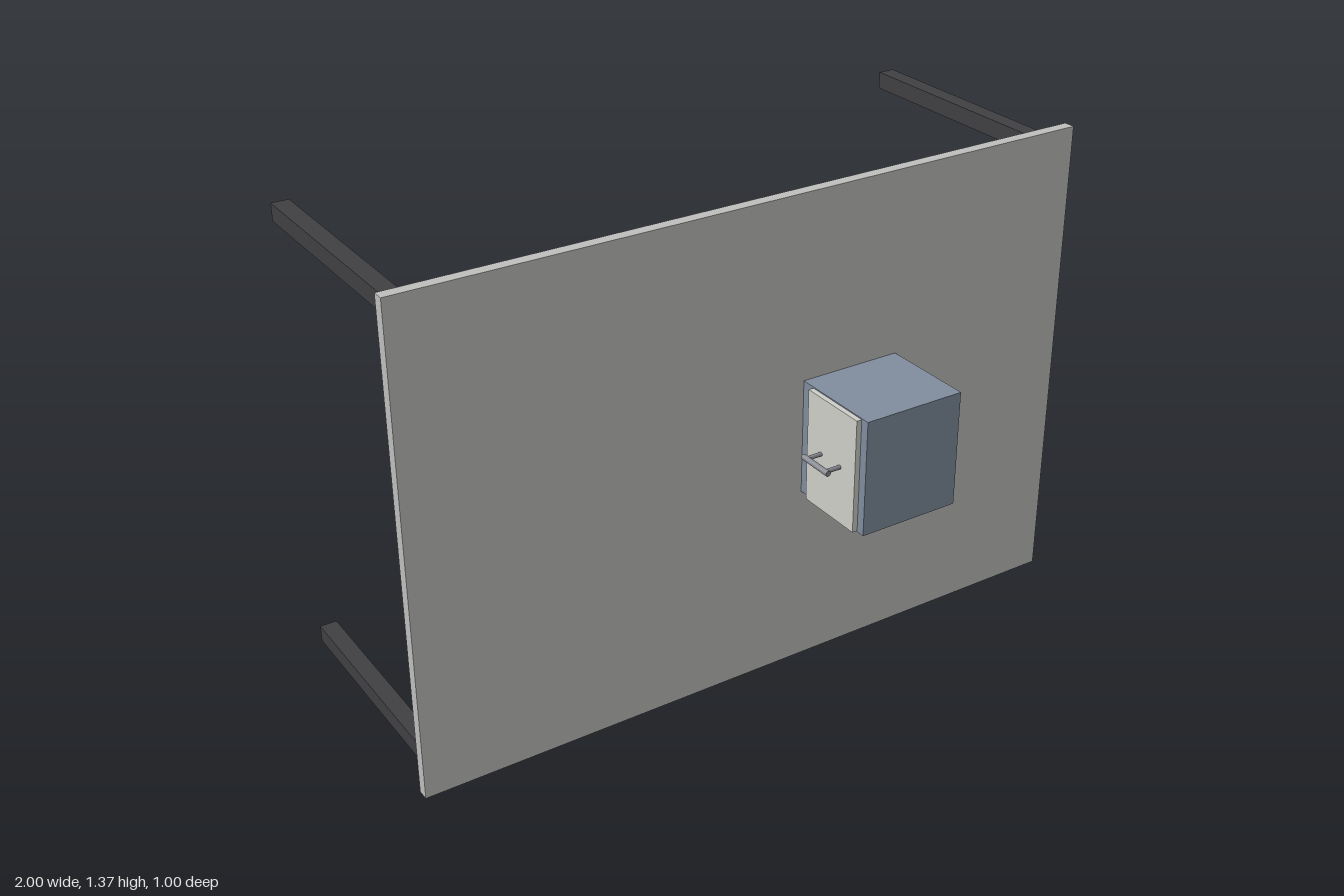
import * as THREE from 'three';

function material(name, color) {
  const m = new THREE.MeshStandardMaterial({ color });
  m.name = name;
  return m;
}

export function createModel() {
  const group = new THREE.Group();
  const panelGrey = material('panel grey', 0xbfbfbe);
  const legCharcoal = material('leg charcoal', 0x404043);
  const cabinetBlue = material('cabinet blue', 0x808d9f);
  const doorIvory = material('door ivory', 0xcfcfc8);
  const handleSteel = material('handle steel', 0x85888f);

  // Box given by its minimum and maximum corners
  function box(name, mat, [x0, y0, z0], [x1, y1, z1], parent = group) {
    const mesh = new THREE.Mesh(new THREE.BoxGeometry(x1 - x0, y1 - y0, z1 - z0), mat);
    mesh.position.set((x0 + x1) / 2, (y0 + y1) / 2, (z0 + z1) / 2);
    mesh.name = name;
    parent.add(mesh);
  }

  // Upright table top
  box('tableTop', panelGrey, [-1, 0, 0.198], [1, 1.367, 0.23]);

  // Four square legs reaching backwards
  const half = 0.024;
  for (const x of [-0.94, 0.94]) {
    for (const y of [0.06, 1.31]) {
      box('leg', legCharcoal, [x - half, y - half, -0.5], [x + half, y + half, 0.198]);
    }
  }

  // Cabinet passing through the table top, with a door on its right side
  box('cabinet', cabinetBlue, [0.133, 0.522, 0.084], [0.429, 0.85, 0.5]);
  box('door', doorIvory, [0.118, 0.525, 0.272], [0.133, 0.847, 0.475]);

  // Bar handle on two posts
  const handle = new THREE.Group();
  handle.name = 'handle';
  const y = 0.687;
  const bar = new THREE.Mesh(new THREE.CylinderGeometry(0.008, 0.008, 0.106, 16), handleSteel);
  bar.name = 'handleBar';
  bar.rotation.x = Math.PI / 2;
  bar.position.set(0.073, y, 0.372);
  handle.add(bar);
  for (const z of [0.332, 0.412]) {
    const post = new THREE.Mesh(new THREE.CylinderGeometry(0.006, 0.006, 0.045, 16), handleSteel);
    post.name = 'handlePost';
    post.rotation.z = Math.PI / 2;
    post.position.set(0.0955, y, z);
    handle.add(post);
  }
  group.add(handle);

  return group;
}
